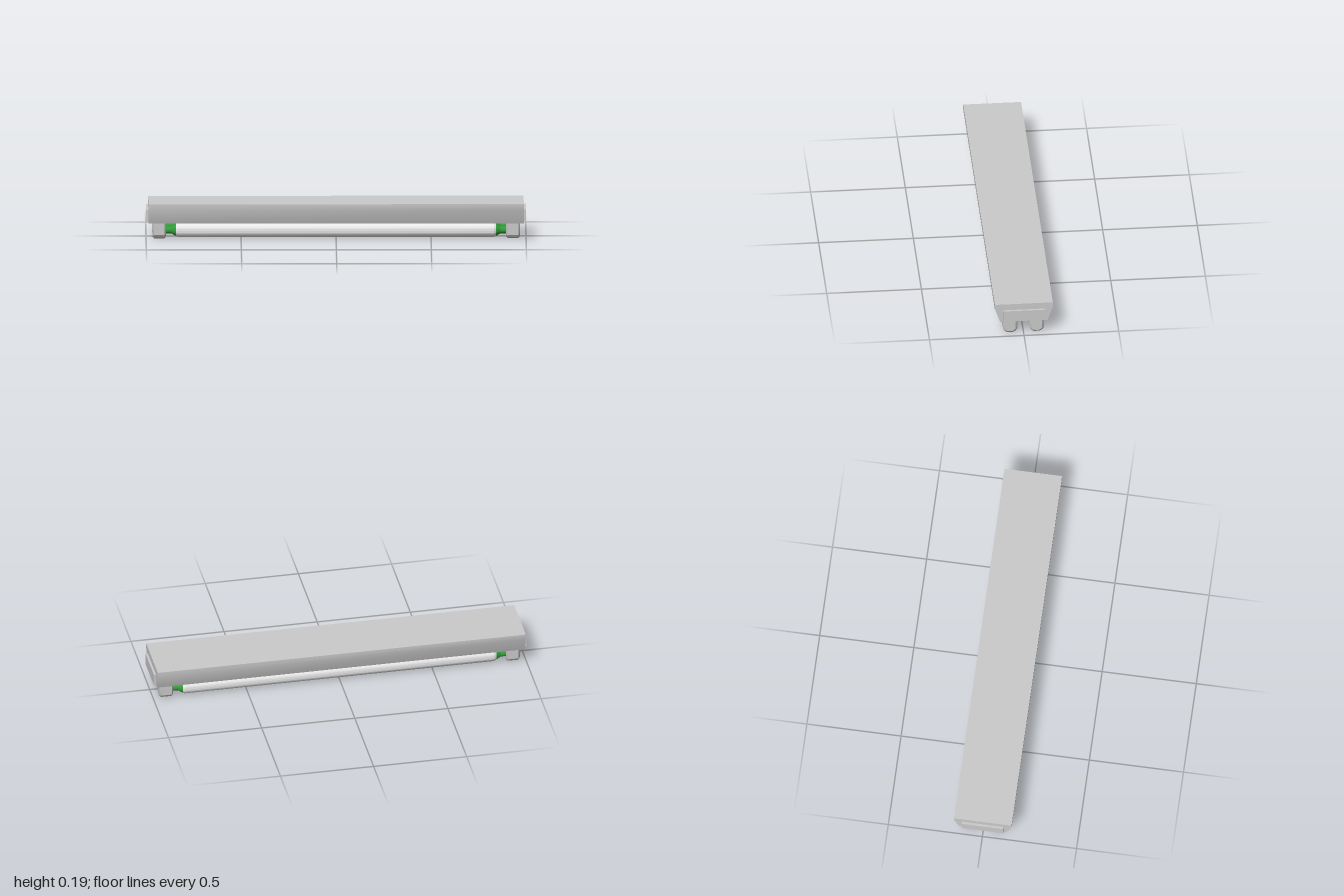
import * as THREE from 'three';
import { toCreasedNormals } from 'three/addons/utils/BufferGeometryUtils.js';

const casing = new THREE.MeshStandardMaterial({ name: 'casing grey', color: 0xcacaca });
const glass = new THREE.MeshStandardMaterial({ name: 'tube white', color: 0xeeeeee });
const green = new THREE.MeshStandardMaterial({ name: 'cap green', color: 0x339f3c });

// Extrudes a (z, y) outline along x, centred on x = 0
function extrudeX(points, length, bevel = 0, bevelDepth = 0) {
  const shape = new THREE.Shape(points.map(([z, y]) => new THREE.Vector2(-z, y)));
  const geometry = new THREE.ExtrudeGeometry(shape, {
    depth: length - 2 * bevelDepth, bevelEnabled: bevel > 0, bevelSegments: 1,
    bevelSize: bevel, bevelOffset: -bevel, bevelThickness: bevelDepth,
  });
  geometry.translate(0, 0, -length / 2 + bevelDepth).rotateY(Math.PI / 2);
  return toCreasedNormals(geometry, 0.5);
}

// Lathe turned to lie along x; profile is [radius, x] with x increasing
function latheX(profile) {
  const geometry = new THREE.LatheGeometry(profile.map(([r, x]) => new THREE.Vector2(r, x)), 24);
  return toCreasedNormals(geometry.rotateZ(-Math.PI / 2), 0.4);
}

export function createModel() {
  const model = new THREE.Group();
  model.name = 'twinTubeLight';
  const add = (name, geometry, material, x = 0, y = 0, z = 0) => {
    const mesh = new THREE.Mesh(geometry, material);
    mesh.name = name;
    mesh.position.set(x, y, z);
    model.add(mesh);
    return mesh;
  };

  // Tapered housing
  add('housing', extrudeX([
    [-0.125, 0.085], [0.125, 0.085], [0.153, 0.164],
    [0.153, 0.192], [-0.153, 0.192], [-0.153, 0.164],
  ], 1.976), casing);

  const endPlate = new THREE.BoxGeometry(0.02, 0.064, 0.22);
  // Socket with a rounded foot and chamfered end faces; its top sits inside the housing
  const socket = extrudeX([
    [-0.0375, 0.1], [-0.0375, 0.022], [-0.029, 0.009], [-0.014, 0.001],
    [0.014, 0.001], [0.029, 0.009], [0.0375, 0.022], [0.0375, 0.1],
  ], 0.072, 0.01, 0.008);
  const tube = latheX([
    [0, -0.842], [0.032, -0.842], [0.038, -0.83], [0.038, 0.83], [0.032, 0.842], [0, 0.842],
  ]);
  const cap = latheX([
    [0, 0.838], [0.032, 0.838], [0.032, 0.843], [0.018, 0.866], [0.018, 0.905], [0, 0.905],
  ]);

  for (const side of [1, -1]) {
    add(side > 0 ? 'leftEndPlate' : 'rightEndPlate', endPlate, casing, side * 0.99, 0.124, 0);
  }

  // Two tubes, each held by a socket and a green cap at both ends
  for (const row of [1, -1]) {
    const z = row * 0.07;
    const label = row > 0 ? 'front' : 'back';
    add(label + 'Tube', tube, glass, 0, 0.043, z);
    for (const side of [1, -1]) {
      const end = side > 0 ? 'Left' : 'Right';
      add(label + end + 'Socket', socket, casing, side * 0.931, 0, z);
      add(label + end + 'Cap', cap, green, 0, 0.043, z).rotation.y = side > 0 ? 0 : Math.PI;
    }
  }
  return model;
}
